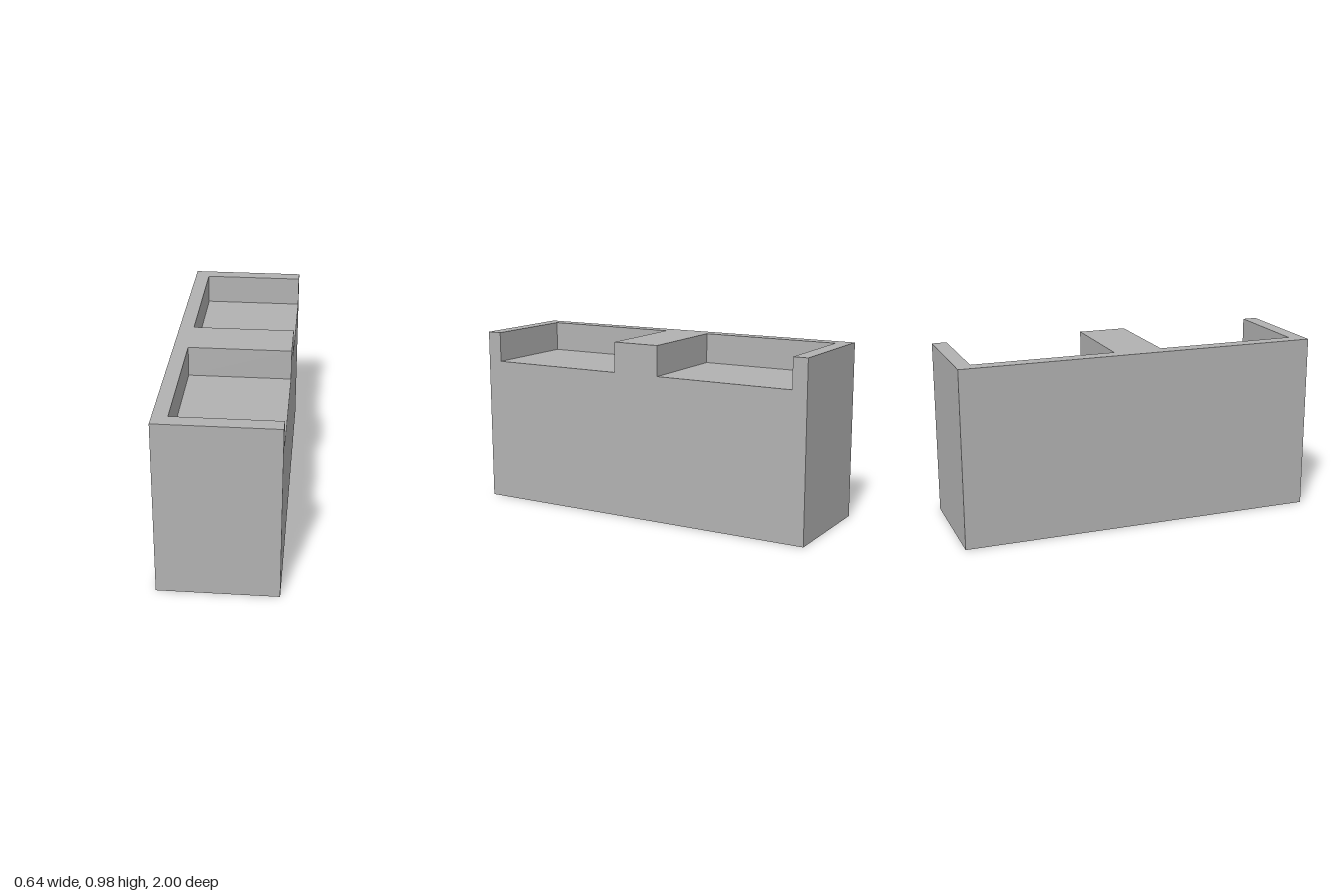
import * as THREE from 'three';

const HALF_X = 0.32, HALF_Z = 1, HEIGHT = 0.977;
const FLOOR = 0.81; // height of the recess floors
const WALL_X = -0.24; // inner face of the back wall
const IN = 0.135, OUT = 0.918; // recess limits along z

export function createModel() {
  const group = new THREE.Group();
  const grey = new THREE.MeshStandardMaterial({ color: 0xb2b2b2 });
  grey.name = 'grey';

  // Notched body: side profile (z, y) swept across x, open towards +x
  const profile = new THREE.Shape([
    [-HALF_Z, 0], [HALF_Z, 0], [HALF_Z, HEIGHT],
    [OUT, HEIGHT], [OUT, FLOOR], [IN, FLOOR], [IN, HEIGHT],
    [-IN, HEIGHT], [-IN, FLOOR], [-OUT, FLOOR], [-OUT, HEIGHT],
    [-HALF_Z, HEIGHT],
  ].map(([z, y]) => new THREE.Vector2(z, y)));
  const bodyGeometry = new THREE.ExtrudeGeometry(profile, {
    depth: HALF_X - WALL_X, bevelEnabled: false,
  });
  bodyGeometry.rotateY(-Math.PI / 2).translate(HALF_X, 0, 0);
  const body = new THREE.Mesh(bodyGeometry, grey);
  body.name = 'notchedBody';

  // Full-height wall closing the recesses on the -x side
  const thickness = WALL_X + HALF_X;
  const wall = new THREE.Mesh(
    new THREE.BoxGeometry(thickness, HEIGHT, 2 * HALF_Z), grey);
  wall.position.set(-HALF_X + thickness / 2, HEIGHT / 2, 0);
  wall.name = 'backWall';

  group.add(body, wall);
  return group;
}
